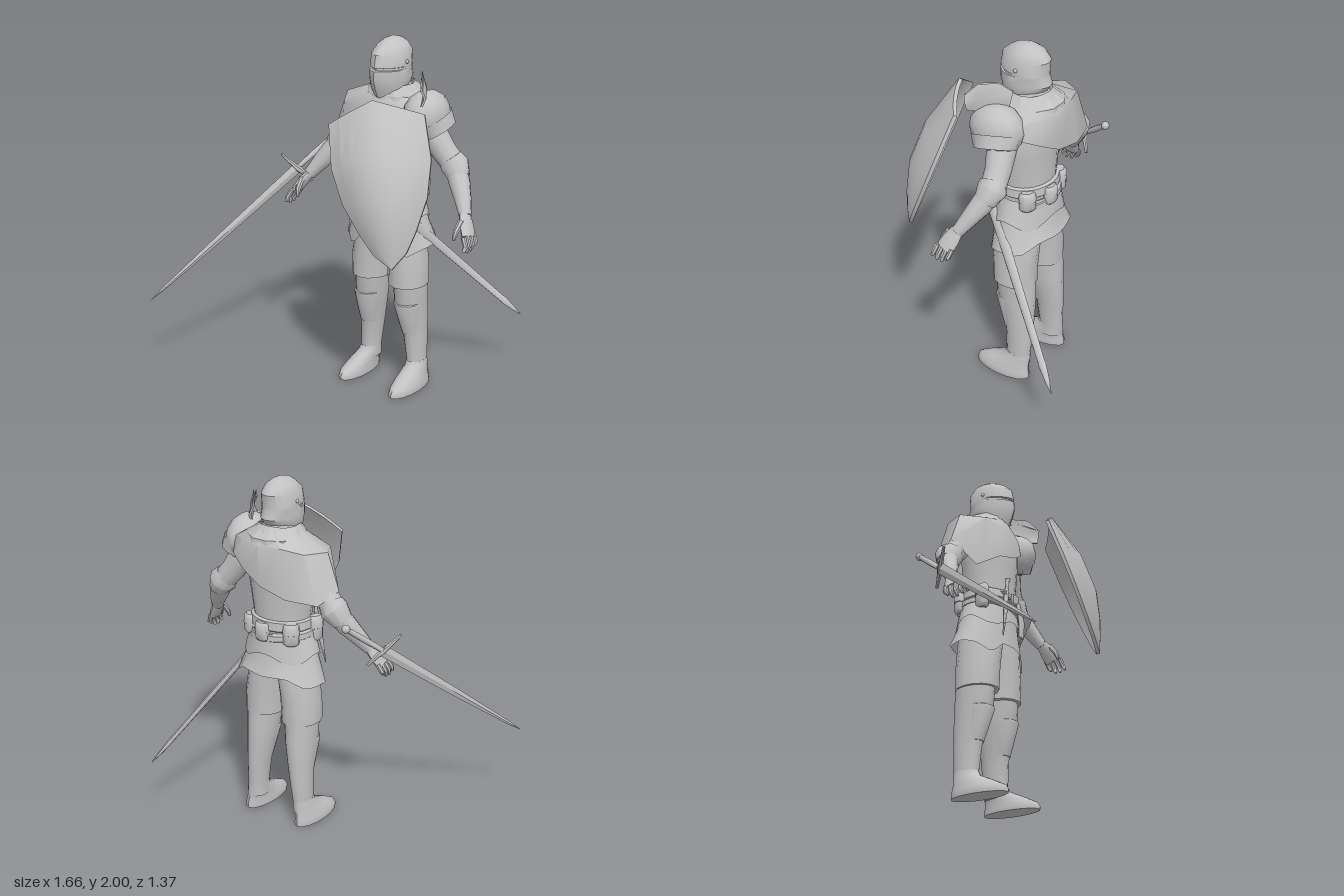
import * as THREE from 'three';
import { toCreasedNormals } from 'three/addons/utils/BufferGeometryUtils.js';

const steel = new THREE.MeshStandardMaterial({ color: 0xc2c2c2, side: THREE.DoubleSide });
steel.name = 'plain grey';
const V = (x, y, z) => new THREE.Vector3(x, y, z);

function add(parent, name, geometry) {
  const mesh = new THREE.Mesh(geometry, steel);
  mesh.name = name;
  parent.add(mesh);
  return mesh;
}

// Skin a list of closed rings of points, bottom to top
function loft(parent, name, rings, { caps = true, crease = 0.8 } = {}) {
  const n = rings[0].length, pos = [], index = [];
  rings.forEach(r => r.forEach(p => pos.push(p.x, p.y, p.z)));
  for (let j = 0; j < rings.length - 1; j++) for (let i = 0; i < n; i++) {
    const a = j * n + i, b = j * n + (i + 1) % n;
    index.push(a, b, b + n, a, b + n, a + n);
  }
  if (caps) [0, rings.length - 1].forEach((j, end) => {
    const c = rings[j].reduce((s, p) => s.add(p), V(0, 0, 0)).divideScalar(n);
    const k = pos.length / 3;
    pos.push(c.x, c.y, c.z);
    for (let i = 0; i < n; i++) {
      const a = j * n + i, b = j * n + (i + 1) % n;
      if (end) index.push(a, b, k); else index.push(b, a, k);
    }
  });
  const g = new THREE.BufferGeometry();
  g.setAttribute('position', new THREE.Float32BufferAttribute(pos, 3));
  g.setIndex(index);
  return add(parent, name, toCreasedNormals(g, crease));
}

// Horizontal oval; angle 0 is the front, then towards +x
const oval = (y, cx, cz, rx, rz, n = 16, warp) => Array.from({ length: n }, (_, i) => {
  const a = i / n * Math.PI * 2;
  const p = V(cx + rx * Math.sin(a), y, cz + rz * Math.cos(a));
  if (warp) warp(p, a);
  return p;
});
const stack = (parent, name, rows, n, opts) =>
  loft(parent, name, rows.map(r => oval(...r, n)), opts);

// Oval tube through stations [x, y, z, rx, rz], its section turned by twist
function limb(parent, name, st, n = 10, { twist = 0, ...opts } = {}) {
  const c = st.map(s => V(s[0], s[1], s[2]));
  const rings = st.map(([, , , rx, rz = rx], i) => {
    const t = c[Math.min(i + 1, c.length - 1)].clone().sub(c[Math.max(i - 1, 0)]).normalize();
    const u = t.clone().cross(V(0, 0, 1)).normalize().applyAxisAngle(t, twist), w = u.clone().cross(t);
    return Array.from({ length: n }, (_, k) => {
      const a = k / n * Math.PI * 2;
      return c[i].clone().addScaledVector(u, rx * Math.sin(a)).addScaledVector(w, rz * Math.cos(a));
    });
  });
  return loft(parent, name, rings, opts);
}

function box(parent, name, size, at, rot = [0, 0, 0]) {
  const m = add(parent, name, new THREE.BoxGeometry(...size));
  m.position.set(...at);
  m.rotation.set(...rot);
}

function ball(parent, name, r, at, scale = [1, 1, 1]) {
  const m = add(parent, name, new THREE.SphereGeometry(r, 12, 8));
  m.position.set(...at);
  m.scale.set(...scale);
}

function buildHelmet(body) {
  // [y, half width, front z, back z]; the short step is the eye slit
  const rows = [[1.735, .092, -.04, -.25], [1.76, .1, -.015, -.28], [1.79, .102, .003, -.3],
    [1.835, .1, 0, -.287], [1.838, .099, -.018, -.286], [1.85, .099, -.018, -.286],
    [1.853, .1, -.002, -.286], [1.92, .097, -.015, -.292], [1.96, .073, -.06, -.265],
    [1.985, .04, -.1, -.225], [2, .004, -.16, -.17]];
  loft(body, 'helmet', rows.map(([y, rx, f, b], j) =>
    oval(y, 0, (f + b) / 2, rx, (f - b) / 2, 24, (p, a) => {
      const k = Math.sin(a), c = Math.cos(a);
      p.x = rx * Math.sign(k) * Math.abs(k) ** (c > 0 ? 1.45 : 1.1);
      if (j < 2) p.y -= (j ? .03 : .055) * Math.max(0, c);
    })), { crease: 0.6 });
  for (const s of [-1, 1]) ball(body, 'visorRivet', .011, [s * .098, 1.875, -.155]);
  stack(body, 'neckGuard', [[1.66, 0, -.17, .12, .14], [1.77, 0, -.165, .085, .11]], 14);
}

function buildTorso(body) {
  stack(body, 'tunic', [[1.08, 0, -.165, .17, .14], [1.22, 0, -.165, .165, .14], [1.4, 0, -.163, .195, .148],
    [1.54, 0, -.165, .215, .15], [1.65, 0, -.17, .17, .12], [1.72, 0, -.17, .08, .08]], 18);

  // Skirt layers with a cut hem, given as height by angle from the front
  const hem = [[0, .89], [.4, .885], [.7, .81], [1.1, .86], [1.6, .88], [2.1, .87], [2.6, .93], [3.15, .92]];
  const hemY = a => {
    const d = Math.min(a, 2 * Math.PI - a), i = hem.findIndex(h => h[0] > d);
    const [p, q] = [hem[i - 1], hem[i]];
    return p[1] + (q[1] - p[1]) * (d - p[0]) / (q[0] - p[0]);
  };
  const drop = k => (p, a) => { p.y = hemY(a) * k + p.y * (1 - k); };
  loft(body, 'skirt', [oval(.87, 0, -.185, .272, .18, 32, drop(1)), oval(1, 0, -.175, .225, .16, 32, drop(.1)),
    oval(1.14, 0, -.17, .18, .148, 32)], { caps: false });
  loft(body, 'upperSkirt', [oval(1.02, 0, -.172, .228, .168, 32, (p, a) => { p.y += .025 * Math.cos(4 * a); }),
    oval(1.16, 0, -.17, .183, .153, 32)], { caps: false });

  // Belts, pouches and dagger
  stack(body, 'belt', [[1.175, 0, -.168, .178, .15], [1.182, 0, -.168, .186, .158],
    [1.228, 0, -.168, .182, .154], [1.235, 0, -.168, .17, .145]], 20);
  loft(body, 'slungBelt', [[1.11, .186], [1.118, .196], [1.148, .194], [1.155, .185]].map(([y, r]) =>
    oval(y, 0, -.168, r, r - .03, 20, p => { p.y -= p.x * .1; })));
  box(body, 'buckle', [.06, .055, .015], [.02, 1.2, -.008]);
  limb(body, 'beltStrap', [[.07, .98, .003, .026, .01], [.075, 1.08, .003, .032, .012], [.045, 1.19, -.004, .018, .012]], 8);
  for (const [x, z, r, tall] of [[-.18, -.11, 1.3, 1.15], [-.14, -.275, .6, 1], [.02, -.32, 0, .85], [.15, -.265, -.7, .9]]) {
    const pouch = new THREE.Group();
    pouch.name = 'pouch';
    pouch.position.set(x, 1.17, z);
    pouch.rotation.y = r;
    pouch.scale.y = tall;
    stack(pouch, 'pouchBag', [[-.065, 0, 0, .03, .02], [-.05, 0, 0, .045, .032], [.0, 0, 0, .044, .033],
      [.002, 0, 0, .048, .037], [.045, 0, 0, .045, .034], [.06, 0, 0, .034, .02]], 10);
    body.add(pouch);
  }
  limb(body, 'dagger', [[-.157, .91, .012, .003], [-.125, 1.06, .008, .015, .01], [-.108, 1.17, .004, .02, .012],
    [-.1, 1.2, .004, .011], [-.09, 1.27, .004, .011], [-.088, 1.285, .004, .017]], 8);
  box(body, 'daggerGuard', [.085, .015, .022], [-.108, 1.18, .004], [0, 0, -.25]);
}

function buildCape(body) {
  // Points from the front, round by the left shoulder, the back and the right arm
  const hem = [[0, 1.46, 0], [.1, 1.52, -.01], [.2, 1.57, -.06], [.27, 1.58, -.18], [.22, 1.57, -.31], [.12, 1.51, -.35],
    [0, 1.44, -.36], [-.17, 1.4, -.36], [-.345, 1.39, -.31], [-.395, 1.45, -.19], [-.285, 1.315, -.085], [-.15, 1.41, -.01]];
  const shoulder = [[0, 1.62, 0], [.11, 1.62, -.03], [.2, 1.63, -.07], [.25, 1.64, -.18], [.22, 1.66, -.28], [.12, 1.67, -.34],
    [0, 1.67, -.37], [-.12, 1.67, -.345], [-.25, 1.65, -.3], [-.315, 1.645, -.18], [-.24, 1.63, -.055], [-.12, 1.62, -.025]];
  const toV = ps => ps.map(p => V(...p));
  const neck = oval(1.73, 0, -.17, .11, .125, 12, (p, a) => { p.y -= .03 * Math.cos(a); });
  loft(body, 'cape', [toV(hem), toV(shoulder), neck], { caps: false });
  // Rolled hood cloth behind the neck
  stack(body, 'hoodRoll', [[1.66, 0, -.2, .17, .165], [1.7, 0, -.2, .16, .16], [1.75, 0, -.18, .11, .115]], 11,
    { caps: false, crease: .3 });
}

function buildArm(body, s) {
  const part = (name, pts, n) => limb(body, name, pts.map(([x, ...r]) => [s * x, ...r]), n);
  part('upperArm', [[.18, 1.6, -.17, .08], [.25, 1.52, -.18, .078], [.315, 1.42, -.2, .068], [.39, 1.335, -.215, .064]], 12);
  part('elbowCuff', [[.355, 1.385, -.205, .067], [.38, 1.35, -.212, .08], [.425, 1.29, -.195, .058]], 10);
  part('forearm', [[.385, 1.345, -.212, .06], [.435, 1.27, -.18, .058], [.485, 1.2, -.14, .046], [.53, 1.13, -.1, .034]], 10);
  part('palm', [[.525, 1.14, -.1, .025, .036], [.555, 1.09, -.075, .027, .05], [.585, 1.04, -.055, .02, .052]], 10);
  for (let k = 0; k < 4; k++) {
    const z = -.1 + k * .03, d = k === 0 ? .02 : k === 3 ? .012 : 0;
    part('finger', [[.582, 1.05, z, .015], [.605, 1.005, z + .012, .014], [.6, .968 + d, z + .025, .008]], 7);
  }
  part('thumb', [[.54, 1.12, -.05, .018], [.535, 1.07, -.01, .016], [.53, 1.025, .005, .008]], 7);
}

function buildLeg(body, s) {
  stack(body, 'shorts', [[.625, s * .126, -.168, .108, .125], [.76, s * .122, -.168, .106, .13],
    [.9, s * .1, -.168, .1, .135], [1.08, s * .085, -.168, .09, .13]], 14);
  stack(body, 'leg', [[.08, s * .16, -.21, .052, .07], [.14, s * .162, -.213, .05, .072], [.3, s * .15, -.212, .06, .083],
    [.42, s * .142, -.2, .072, .098], [.52, s * .135, -.183, .082, .115], [.7, s * .132, -.175, .088, .118]], 14);
  // Knee plate standing off the shin
  stack(body, 'kneePlate', [[.32, s * .148, -.17, .05, .05], [.5, s * .137, -.15, .076, .088],
    [.515, s * .137, -.15, .076, .088], [.525, s * .137, -.15, .066, .07]], 14);
  // Boot
  stack(body, 'boot', [[0, s * .178, -.12, .068, .172], [.015, s * .178, -.12, .07, .174], [.04, s * .178, -.125, .066, .165],
    [.075, s * .172, -.155, .06, .13], [.12, s * .165, -.205, .053, .082], [.15, s * .162, -.212, .05, .073]], 16);
}

function buildLeftShoulder(body) {
  ball(body, 'pauldron', .135, [.24, 1.615, -.145], [.86, .98, 1.15]);
  limb(body, 'pauldronBand', [[.3, 1.53, -.175, .092, .115], [.27, 1.59, -.16, .1, .14]], 12, { caps: false });
  // Upright neck guard plate running diagonally across the shoulder
  const low = [[.185, 1.7, -.17], [.225, 1.7, -.11], [.27, 1.7, -.05], [.3, 1.7, 0]].map(p => V(...p));
  const high = [[.165, 1.805, -.19], [.2, 1.85, -.13], [.265, 1.85, -.05], [.305, 1.785, .01]].map(p => V(...p));
  const mid = low.map((p, i) => p.clone().lerp(high[i], .5).add(V(.015, 0, -.01)));
  const thick = ps => [...ps, ...ps.map(p => p.clone().add(V(.01, 0, -.007))).reverse()];
  loft(body, 'shoulderFin', [thick(low), thick(mid), thick(high)]);
}

function buildShield(root) {
  const top = V(.35, 1.64, .155), A = V(.25, -.705, .19), C = V(.44, .08, -.23), N = V(.38, .36, .85);
  const at = (u, half, t, off) => {
    const peak = u - .12 * (1 - Math.abs(t)) * Math.max(0, 1 - u * 2);
    const bulge = .135 * Math.sin(Math.PI * (u + .15) / 1.15) * (1 - t * t);
    return top.clone().addScaledVector(A, peak).addScaledVector(C, half * t).addScaledVector(N, bulge + off);
  };
  const cols = Array.from({ length: 9 }, (_, i) => -1 + i / 4);
  const ring = (u, h, back) => [...cols.map(t => at(u, h, t, 0)), ...cols.map(t => at(u, h, -t, back))];
  const rows = [[1, .004], [.9, .17], [.77, .285], [.55, .44], [.3, .52], [0, .5]];
  loft(root, 'shield', [...rows.map(([u, h]) => ring(u, h, -.02)), ring(0, .5, 0)], { caps: false, crease: .4 });
  for (const u of [.3, .55]) {
    const pts = [[-.35, -.015], [-.3, -.05], [.3, -.05], [.35, -.015]].map(([t, o]) => at(u, .48, t, o));
    limb(root, 'shieldStrap', pts.map(p => [p.x, p.y, p.z, .014, .008]), 6);
  }
}

// Stations along a straight line between two points
const along = (from, to, rows) => rows.map(([k, rx, rz]) => [...from.clone().lerp(to, k).toArray(), rx, rz]);

function buildSwords(root) {
  const pommel = V(-.31, 1.31, -.31), tip = V(-.83, .48, .68);
  limb(root, 'swordBlade', along(pommel, tip, [[.19, .032, .009], [.6, .023, .007], [.93, .01, .004], [1, .001, .001]]),
    4, { crease: .2, twist: -.8 });
  limb(root, 'swordGrip', along(pommel, tip, [[0, .014], [.1, .017], [.19, .014]]), 8);
  ball(root, 'pommel', .023, pommel.toArray());
  limb(root, 'crossguard', [[-.477, 1.23, -.05, .008], [-.425, 1.16, -.1, .014], [-.405, 1.14, -.115, .019],
    [-.39, 1.12, -.13, .014], [-.35, 1.066, -.17, .008]], 6);

  // Empty scabbard slung from the left hip
  const mouth = V(.345, 1.14, .01), end = V(.76, .355, -.69);
  limb(root, 'scabbard', along(mouth, end, [[0, .022, .038], [.05, .022, .038], [.055, .018, .034], [.85, .012, .022],
    [.855, .014, .025], [.93, .01, .016], [1, .002, .002]]), 8);
}

export function createModel() {
  const root = new THREE.Group();
  root.name = 'armouredFighter';
  const body = new THREE.Group();
  body.name = 'body';
  body.position.x = .215;
  root.add(body);
  buildHelmet(body);
  buildTorso(body);
  buildCape(body);
  buildLeftShoulder(body);
  for (const s of [-1, 1]) {
    buildArm(body, s);
    buildLeg(body, s);
  }
  buildShield(root);
  buildSwords(root);
  return root;
}
